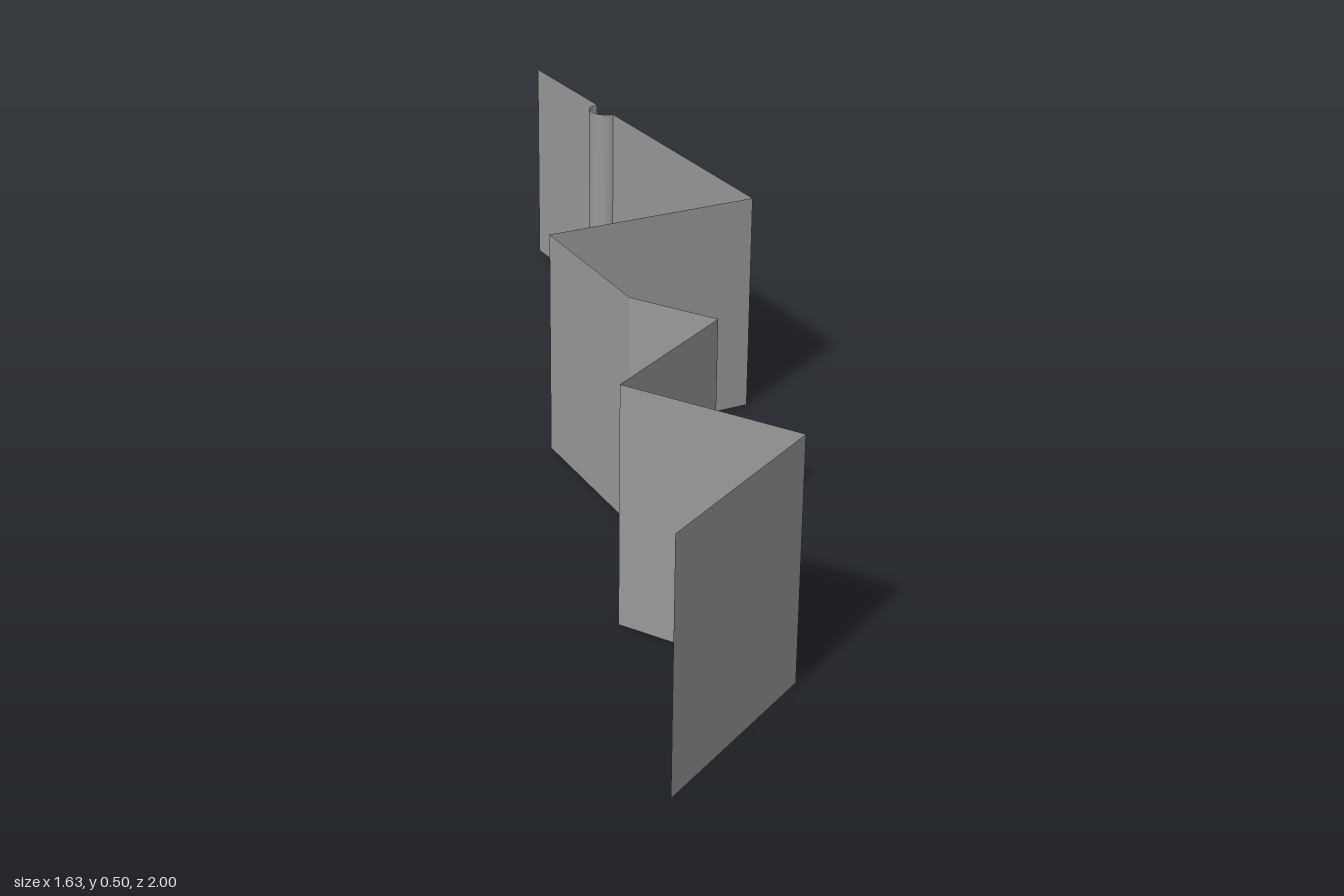
import * as THREE from 'three';

const HEIGHT = 0.505;

// Upright sheet following a plan path of [x, z] points; shared columns keep curves smooth
function wall(path, material, name) {
  const positions = [];
  const index = [];
  path.forEach(([x, z], i) => {
    positions.push(x, 0, z, x, HEIGHT, z);
    if (i === 0) return;
    const a = 2 * (i - 1);
    index.push(a, a + 2, a + 3, a, a + 3, a + 1);
  });
  const geometry = new THREE.BufferGeometry();
  geometry.setAttribute('position', new THREE.Float32BufferAttribute(positions, 3));
  geometry.setIndex(index);
  geometry.computeVertexNormals();
  const mesh = new THREE.Mesh(geometry, material);
  mesh.name = name;
  return mesh;
}

export function createModel() {
  const group = new THREE.Group();
  group.name = 'foldedWall';
  const grey = new THREE.MeshStandardMaterial({ color: 0x999999, side: THREE.DoubleSide });
  grey.name = 'grey';

  // Ends of the rounded rib on the long rear panel
  const ribStart = [-0.52, -0.829];
  const ribEnd = [-0.445, -0.785];

  // Flat panels, from the rear end to the front end
  const folds = [
    [-0.815, -1], ribStart, ribEnd, [0.14, -0.445], [-0.11, -0.01],
    [0.22, 0.195], [0.425, 0.195], [0.43, 0.56], [0.815, 0.56], [0.815, 1],
  ];
  for (let i = 0; i < folds.length - 1; i++) {
    if (folds[i] === ribStart) continue;
    group.add(wall([folds[i], folds[i + 1]], grey, `panel${i + 1}`));
  }

  // Half-round rib bulging to the front of the rear panel
  const start = new THREE.Vector2(...ribStart);
  const end = new THREE.Vector2(...ribEnd);
  const middle = start.clone().add(end).multiplyScalar(0.5);
  const along = end.clone().sub(middle);
  const outward = new THREE.Vector2(-along.y, along.x).normalize().multiplyScalar(0.039);
  const rib = [];
  for (let i = 0; i <= 16; i++) {
    const t = Math.PI * (1 - i / 16);
    const p = middle.clone().addScaledVector(along, Math.cos(t)).addScaledVector(outward, Math.sin(t));
    rib.push([p.x, p.y]);
  }
  group.add(wall(rib, grey, 'roundedRib'));

  return group;
}
